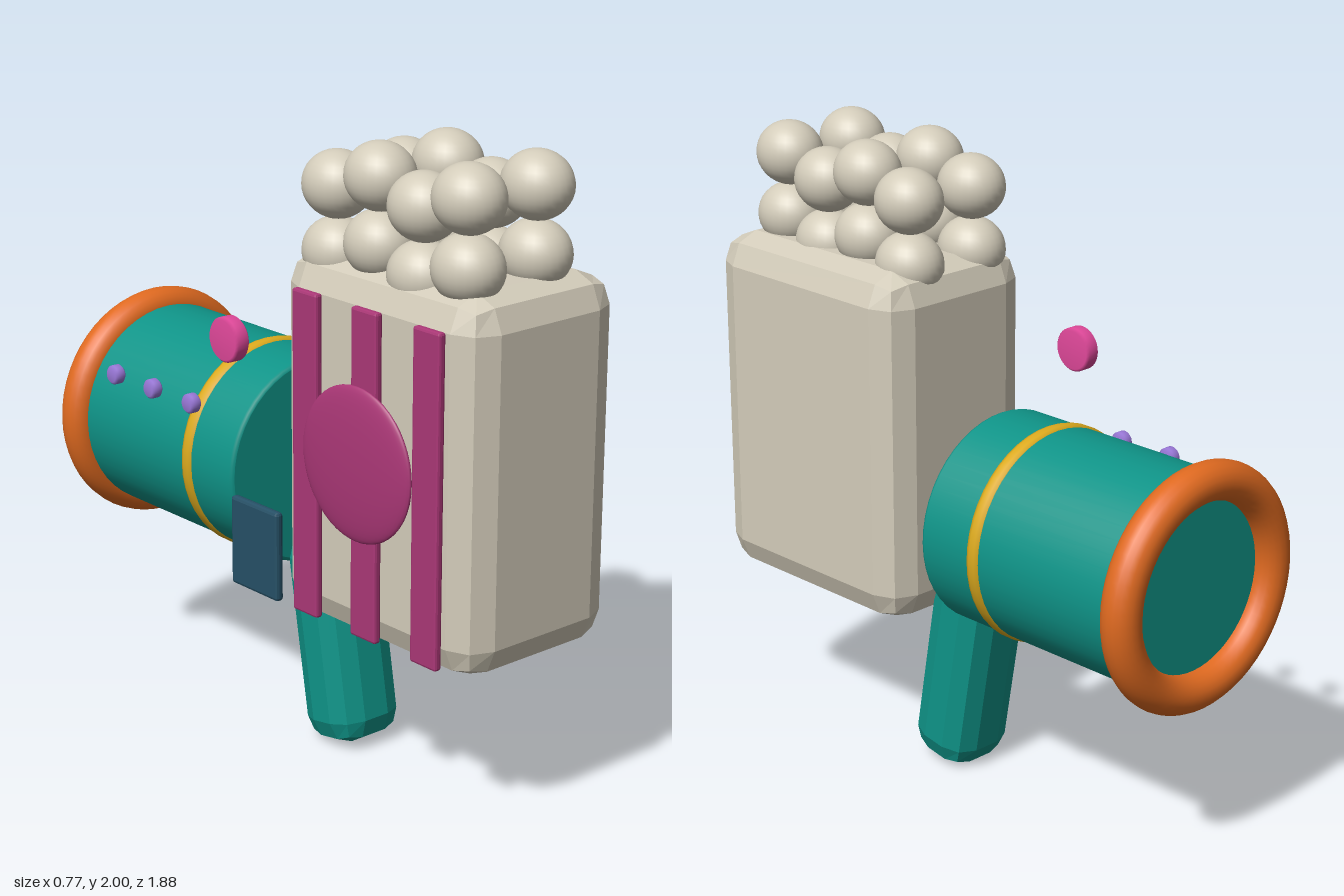
import * as THREE from 'three';
import { RoundedBoxGeometry } from 'three/addons/geometries/RoundedBoxGeometry.js';

function mat(name, color) {
  const m = new THREE.MeshStandardMaterial({ color });
  m.name = name;
  return m;
}

export function createModel() {
  const beige = mat('beige', 0xd3ccba);
  const teal = mat('teal', 0x0f9488);
  const orange = mat('orange', 0xe06a20);
  const gold = mat('gold', 0xdcaa1e);
  const slate = mat('slate blue', 0x265066);
  const pink = mat('pink', 0xe0489a);
  const plum = mat('plum', 0xaa3776);
  const violet = mat('violet', 0x9a78d8);

  const model = new THREE.Group();
  model.name = 'popcornBlaster';

  const add = (name, geometry, material, x, y, z) => {
    const mesh = new THREE.Mesh(geometry, material);
    mesh.name = name;
    mesh.position.set(x, y, z);
    model.add(mesh);
    return mesh;
  };
  // Box with faceted, bevelled edges
  const bevelBox = (w, h, d, r) => {
    const g = new RoundedBoxGeometry(w, h, d, 1, r);
    g.computeVertexNormals();
    return g;
  };
  // Disc facing sideways with a small bevel
  const sideDisc = (radius, thickness, bevel) => {
    const t = thickness / 2;
    const pts = [[0, -t], [radius - bevel, -t], [radius, -t + bevel],
      [radius, t - bevel], [radius - bevel, t], [0, t]];
    return new THREE.LatheGeometry(pts.map(p => new THREE.Vector2(...p)), 32).rotateZ(Math.PI / 2);
  };

  // Bucket
  add('bucket', bevelBox(0.585, 1.135, 0.84, 0.1), beige, 0, 1.082, 0.52);

  // Two layers of puffs heaped on the bucket
  const puff = new THREE.SphereGeometry(0.102, 28, 18).scale(1, 1, 1.1);
  [0.775, 0.595, 0.41, 0.225].forEach((z, row) => {
    for (const x of [-0.165, 0.097]) {
      for (const y of [1.7, 1.898]) add('puff', puff, beige, x, y - (row % 2) * 0.055, z);
    }
  });

  // Stripes and oval badge on the right side
  for (const z of [0.255, 0.515, 0.775]) {
    add('stripe', bevelBox(0.026, 1.005, 0.11, 0.008), plum, -0.308, 1.052, z);
  }
  add('badge', new THREE.SphereGeometry(1, 40, 24).scale(0.03, 0.235, 0.233), plum, -0.346, 1.1, 0.517);

  // Barrel, closed at both ends with softened rims
  const barrelProfile = [[0, -0.4], [0.325, -0.4], [0.337, -0.388],
    [0.337, 0.388], [0.334, 0.396], [0.325, 0.4], [0, 0.4]];
  // Repeated points keep the caps flat
  barrelProfile.splice(1, 0, [0.324, -0.4]);
  barrelProfile.splice(7, 0, [0.324, 0.4]);
  const barrel = new THREE.LatheGeometry(barrelProfile.map(p => new THREE.Vector2(...p)), 48);
  add('barrel', barrel.rotateX(Math.PI / 2), teal, 0, 0.885, -0.472);
  add('muzzleRing', new THREE.TorusGeometry(0.325, 0.06, 20, 56), orange, 0, 0.885, -0.88);

  // Gold band around the barrel
  const bandProfile = [[0.33, -0.024], [0.34, -0.022], [0.344, -0.01],
    [0.344, 0.01], [0.34, 0.022], [0.33, 0.024]];
  const band = new THREE.LatheGeometry(bandProfile.map(p => new THREE.Vector2(...p)), 48);
  add('band', band.rotateX(Math.PI / 2), gold, 0, 0.885, -0.294);

  // Tilted grip and trigger
  add('grip', bevelBox(0.254, 0.68, 0.24, 0.08), teal, 0, 0.337, 0.062).rotation.x = -0.17;
  add('trigger', bevelBox(0.085, 0.1, 0.13, 0.025), gold, 0, 0.632, 0.092).rotation.x = -0.17;

  // Side plate, knob and studs
  add('sidePlate', bevelBox(0.028, 0.285, 0.22, 0.01), slate, -0.346, 0.712, 0.062);
  add('knob', sideDisc(0.07, 0.052, 0.008), pink, -0.342, 1.343, -0.067);
  for (const z of [-0.66, -0.465, -0.268]) {
    add('stud', sideDisc(0.031, 0.04, 0.008), violet, -0.335, 1.09, z);
  }
  return model;
}
